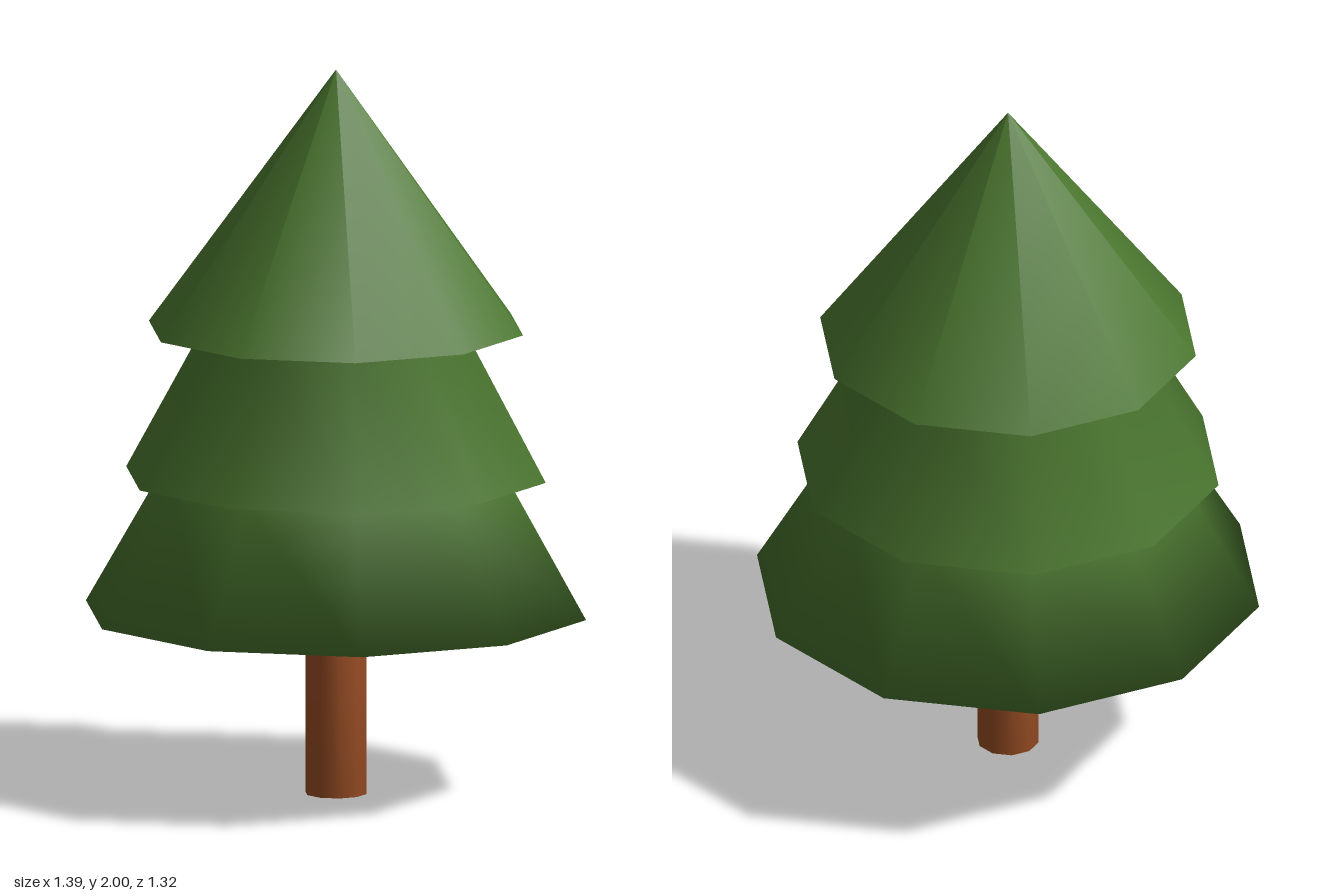
import * as THREE from 'three';

const SIDES = 10;

// Ten-sided smooth turning, with corners on the x axis
function turned(name, profile, material) {
  const points = profile.map(([r, y]) => new THREE.Vector2(r, y));
  const geometry = new THREE.LatheGeometry(points, SIDES, Math.PI / 2);
  geometry.normalizeNormals();
  const mesh = new THREE.Mesh(geometry, material);
  mesh.name = name;
  return mesh;
}

export function createModel() {
  const leafGreen = new THREE.MeshStandardMaterial({ color: 0x4c7830 });
  leafGreen.name = 'leafGreen';
  const barkBrown = new THREE.MeshStandardMaterial({ color: 0x9c4f25 });
  barkBrown.name = 'barkBrown';

  const tree = new THREE.Group();
  tree.name = 'pineTree';

  // Trunk
  tree.add(turned('trunk', [[0, 0], [0.085, 0], [0.085, 0.48]], barkBrown));

  // Three foliage tiers as one continuous skin, from the underside to the tip
  tree.add(turned('foliage', [
    [0.195, 0.475], [0.695, 0.505],
    [0.485, 0.872], [0.583, 0.88],
    [0.375, 1.262], [0.52, 1.285],
    [0, 2],
  ], leafGreen));

  // Flat plate closing the underside around the trunk
  tree.add(turned('foliageBase', [[0, 0.475], [0.195, 0.475]], leafGreen));

  return tree;
}
